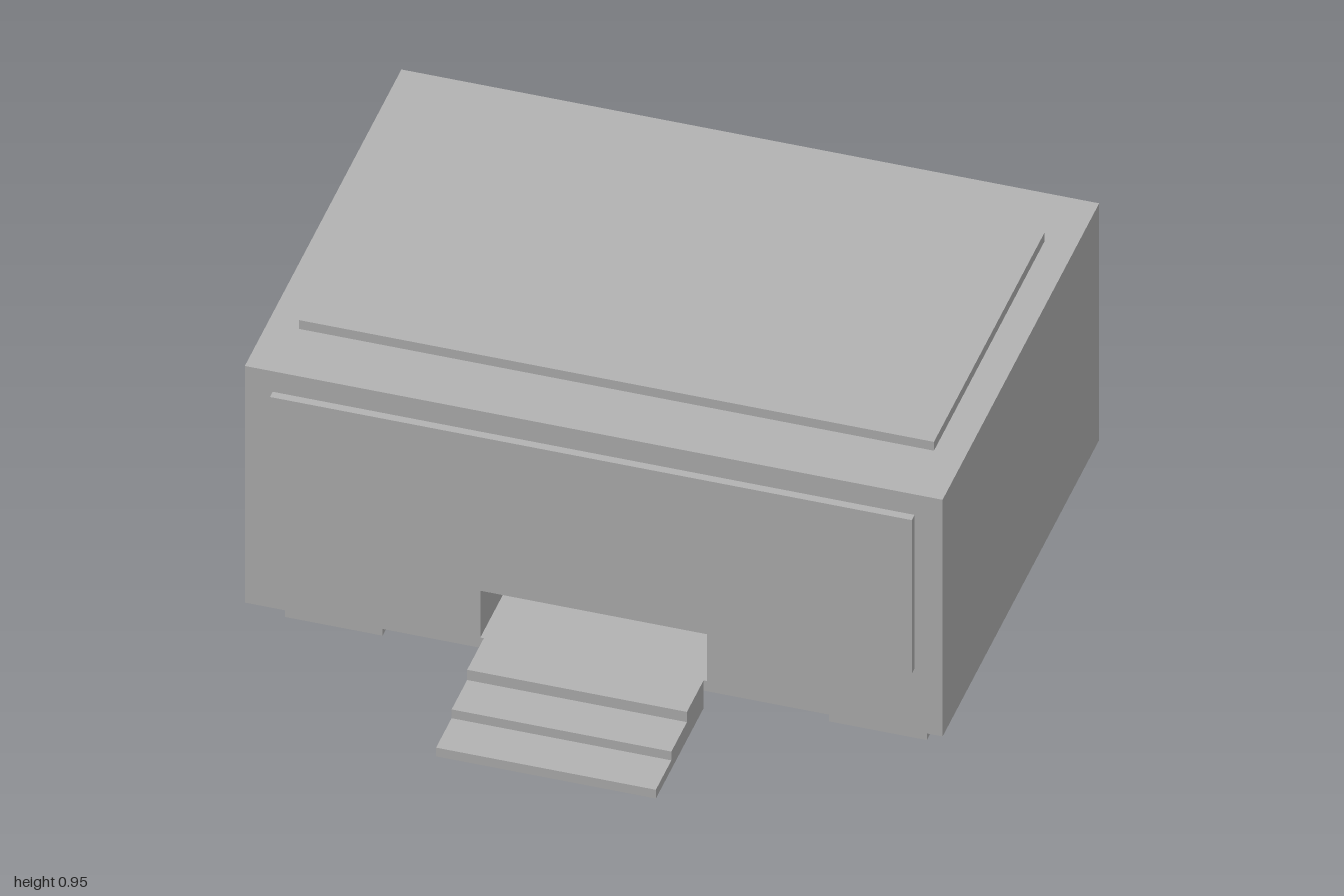
import * as THREE from 'three';
import { mergeGeometries } from 'three/addons/utils/BufferGeometryUtils.js';

const grey = new THREE.MeshStandardMaterial({ color: 0xb2b2b2 });
grey.name = 'plain grey';

// Box given by its limits on each axis
function boxGeometry([x0, x1], [y0, y1], [z0, z1]) {
  return new THREE.BoxGeometry(x1 - x0, y1 - y0, z1 - z0)
    .translate((x0 + x1) / 2, (y0 + y1) / 2, (z0 + z1) / 2);
}

// Drop some faces of a box (0..5 = +x -x +y -y +z -z), optionally turned inside out
function openBox(geometry, dropped, inward = false) {
  const source = Array.from(geometry.index.array);
  const index = [];
  for (let f = 0; f < 6; f++) {
    if (!dropped.includes(f)) index.push(...source.slice(f * 6, f * 6 + 6));
  }
  if (inward) {
    index.reverse();
    const normal = geometry.attributes.normal;
    for (let i = 0; i < normal.array.length; i++) normal.array[i] *= -1;
  }
  geometry.setIndex(index);
  geometry.clearGroups();
  return geometry;
}

function rectangle(Type, x, y0, y1) {
  const path = new Type();
  path.moveTo(-x, y0);
  path.lineTo(x, y0);
  path.lineTo(x, y1);
  path.lineTo(-x, y1);
  path.closePath();
  return path;
}

// Flat wall of the body with a rectangular opening
function wallGeometry(hole) {
  const shape = rectangle(THREE.Shape, 1, 0.11, 0.92);
  shape.holes.push(rectangle(THREE.Path, hole.x, hole.y[0], hole.y[1]));
  return new THREE.ShapeGeometry(shape);
}

export function createModel() {
  const model = new THREE.Group();
  const add = (name, geometry) => {
    const mesh = new THREE.Mesh(geometry, grey);
    mesh.name = name;
    model.add(mesh);
  };

  const front = 0.49, back = -0.92;
  const doorway = { x: 0.325, y: [0.145, 0.325] };
  const rearSlot = { x: 0.515, y: [0.275, 0.56] };

  // Body shell with a recessed doorway in front and a recessed slot behind
  add('body', mergeGeometries([
    openBox(boxGeometry([-1, 1], [0.11, 0.92], [back, front]), [4, 5]),
    wallGeometry(doorway).translate(0, 0, front),
    wallGeometry(rearSlot).rotateY(Math.PI).translate(0, 0, back),
    openBox(boxGeometry([-doorway.x, doorway.x], doorway.y, [0.07, front]), [4], true),
    openBox(boxGeometry([-rearSlot.x, rearSlot.x], rearSlot.y, [back, -0.5]), [5], true),
  ]));

  // Raised panels
  add('roofPanel', boxGeometry([-0.91, 0.91], [0.92, 0.95], [-0.71, 0.285]));
  add('frontPanel', boxGeometry([-0.92, 0.92], [0.325, 0.85], [front, 0.515]));

  // Two long runners under the body
  add('leftRunner', boxGeometry([0.64, 0.92], [0, 0.11], [-0.8, 0.38]));
  add('rightRunner', boxGeometry([-0.92, -0.64], [0, 0.11], [-0.8, 0.38]));

  // Three steps, drawn as a side profile (z, y) and extruded across x
  const profile = [
    [front, 0.05], [0.92, 0.05], [0.92, 0.08], [0.78, 0.08],
    [0.78, 0.11], [0.64, 0.11], [0.64, 0.145], [front, 0.145],
  ].map(([z, y]) => new THREE.Vector2(z, y));
  add('steps', new THREE.ExtrudeGeometry(new THREE.Shape(profile), { depth: 0.63, bevelEnabled: false })
    .rotateY(-Math.PI / 2).translate(0.315, 0, 0));

  return model;
}
